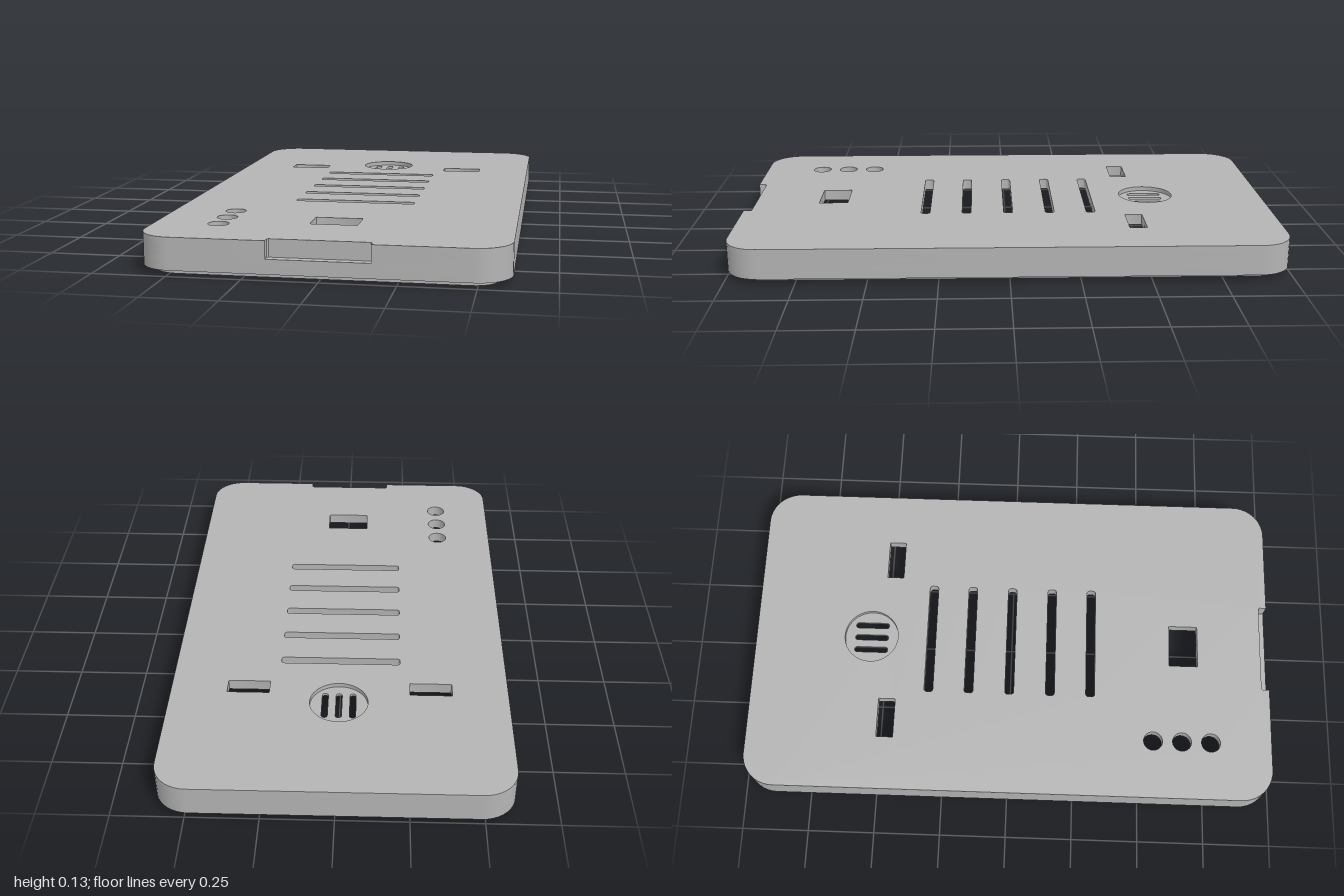
import * as THREE from 'three';
import { toCreasedNormals } from 'three/addons/utils/BufferGeometryUtils.js';

const V = (x, z) => new THREE.Vector2(x, z);

// Points of a rounded rectangle, from the back left corner round to the back right.
// "front" points are inserted into the front edge.
function roundedRect(halfW, halfD, r, front = [], cx = 0, cz = 0, steps = 10) {
  const pts = [];
  [[1, -1], [1, 1], [-1, 1], [-1, -1]].forEach(([sx, sz], i) => {
    if (i === 2) pts.push(...front);
    for (let k = 0; k <= steps; k++) {
      const a = (i - 1 + k / steps) * Math.PI / 2;
      pts.push(V(cx + sx * (halfW - r) + r * Math.cos(a), cz + sz * (halfD - r) + r * Math.sin(a)));
    }
  });
  return pts;
}

function circle(cx, cz, r, n = 40) {
  return Array.from({ length: n }, (_, i) => {
    const a = i / n * Math.PI * 2;
    return V(cx + r * Math.cos(a), cz + r * Math.sin(a));
  });
}

// Slab between two heights, from an outline in x and z
function slab(name, outline, holes, y0, y1, material) {
  const shape = new THREE.Shape(outline);
  shape.holes = holes.map(h => new THREE.Path(h));
  const geo = new THREE.ExtrudeGeometry(shape, { depth: y1 - y0, bevelEnabled: false });
  geo.rotateX(Math.PI / 2);
  geo.translate(0, y1, 0);
  const mesh = new THREE.Mesh(toCreasedNormals(geo, 0.5), material);
  mesh.name = name;
  return mesh;
}

export function createModel() {
  const grey = new THREE.MeshStandardMaterial({ color: 0xb4b4b4 });
  grey.name = 'grey plastic';
  const model = new THREE.Group();
  model.name = 'panelCover';

  const W = 0.607, D = 1, R = 0.12;
  const notch = [V(0.17, D), V(0.17, 0.975), V(0.165, 0.97), V(-0.165, 0.97), V(-0.17, 0.975), V(-0.17, D)];
  const outer = roundedRect(W, D, R);
  const notched = roundedRect(W, D, R, notch);
  const inner = roundedRect(0.525, 0.918, 0.06);

  // Openings in the face
  const holes = [
    circle(0, -0.55, 0.104),
    ...[-0.33, 0.328].map(x => roundedRect(0.076, 0.032, 0.002, [], x, -0.472, 2)),
    ...[-0.315, -0.16, -0.003, 0.154, 0.309].map(z => roundedRect(0.22, 0.017, 0.01, [], 0, z, 4)),
    ...[0.55, 0.66, 0.77].map(z => circle(-0.388, z, 0.036, 28)),
    roundedRect(0.082, 0.055, 0.002, [], -0.002, 0.67, 2),
  ];
  model.add(slab('facePlate', notched, holes, 0.09, 0.13, grey));

  // Side walls, the upper band cut by the front notch
  model.add(slab('upperWall', notched, [inner], 0.07, 0.09, grey));
  model.add(slab('lowerWall', outer, [inner], 0.02, 0.07, grey));

  // Thin slotted disc set inside the round opening
  const slots = [-0.05, 0, 0.05].map(x => roundedRect(0.011, 0.065, 0.01, [], x, -0.55, 5));
  model.add(slab('speakerGrille', circle(0, -0.55, 0.104), slots, 0.104, 0.114, grey));

  // Locating lip under the wall, open along the middle of the back
  const gap = 0.3;
  const lip = [
    V(gap, -0.955), ...roundedRect(0.565, 0.955, 0.085), V(-gap, -0.955),
    V(-gap, -0.928), ...roundedRect(0.537, 0.928, 0.065).reverse(), V(gap, -0.928),
  ];
  model.add(slab('locatingLip', lip, [], 0, 0.02, grey));
  return model;
}
